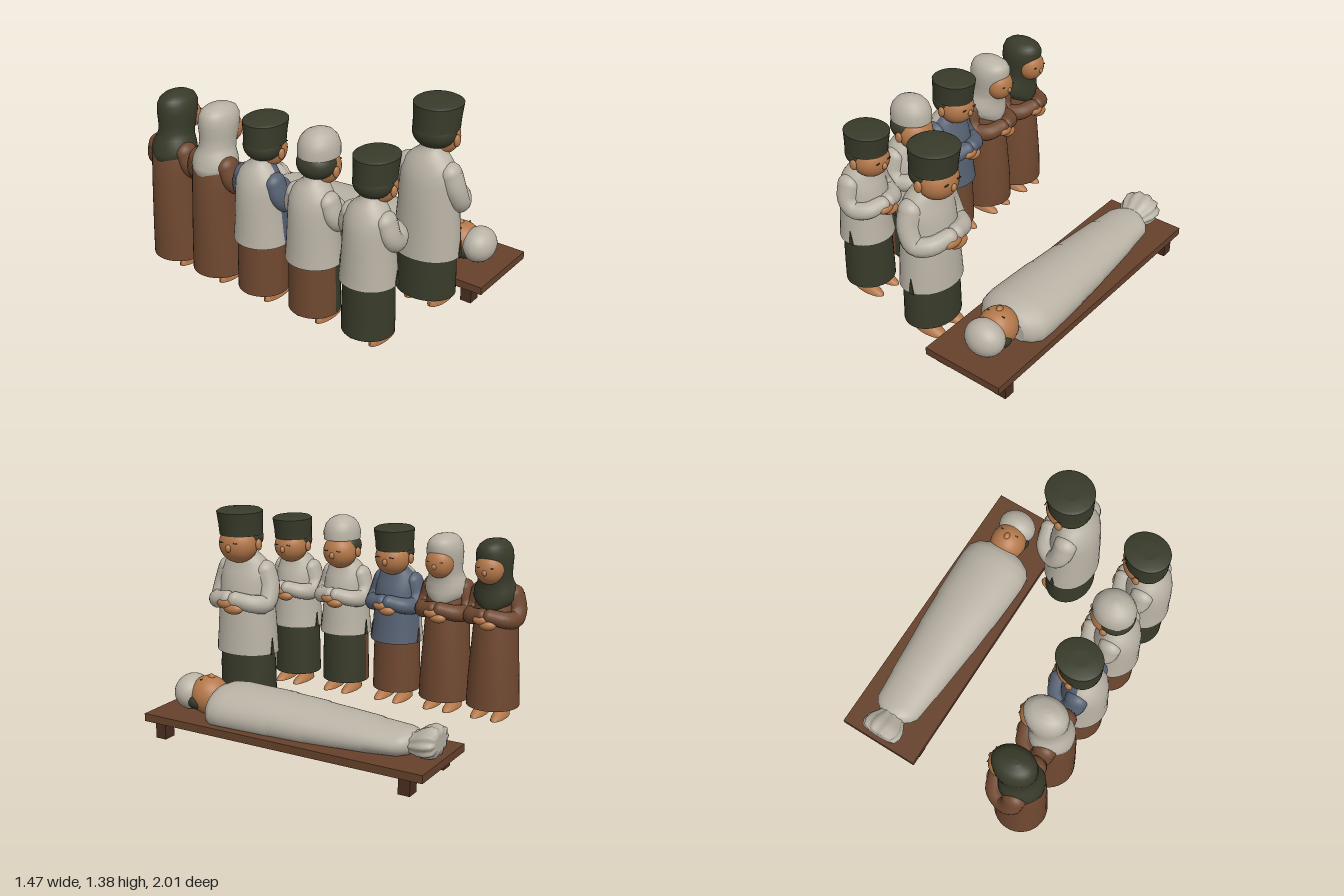
import * as THREE from 'three';

const flat = (name, color) => Object.assign(new THREE.MeshStandardMaterial({ color }), { name });
const WHITE = flat('off white cloth', 0xb9b2a5);
const GREEN = flat('dark green cloth', 0x383b2a);
const BROWN = flat('brown cloth', 0x6f4830);
const BLUE = flat('slate blue cloth', 0x566172);
const SKIN = flat('skin', 0xb4784a);
const WOOD = flat('table wood', 0x65412b);
const DARKWOOD = flat('table leg wood', 0x4a2e20);

function add(parent, name, geometry, material, x = 0, y = 0, z = 0) {
  const mesh = new THREE.Mesh(geometry, material);
  mesh.name = name;
  mesh.position.set(x, y, z);
  parent.add(mesh);
  return mesh;
}

function ball(parent, name, material, [x, y, z], [rx, ry, rz]) {
  return add(parent, name, new THREE.SphereGeometry(1, 28, 20).scale(rx, ry, rz), material, x, y, z);
}

// Closed body through elliptical rings [y, centreX, radiusX, radiusZ, centreZ, ripple].
// Group 0 is the half facing +x, group 1 the half facing -x.
function loft(rings, n = 40) {
  const pos = [], front = [], back = [];
  const ring = ([y, cx, rx, rz, cz = 0, ripple = 0]) => {
    for (let j = 0; j < n; j++) {
      const a = (j / n) * Math.PI * 2, k = 1 + ripple * Math.cos(a * 10);
      pos.push(cx + rx * k * Math.cos(a), y, cz + rz * k * Math.sin(a));
    }
  };
  rings.forEach(ring);
  const half = (j) => (Math.cos(((j + 0.5) / n) * Math.PI * 2) > 0 ? front : back);
  for (let i = 0; i < rings.length - 1; i++) {
    for (let j = 0; j < n; j++) {
      const a = i * n + j, c = i * n + ((j + 1) % n);
      half(j).push(a, a + n, c, a + n, c + n, c);
    }
  }
  for (const end of [0, 1]) {
    const r = end ? rings[rings.length - 1] : rings[0], base = pos.length / 3;
    ring(r);
    pos.push(r[1], r[0], r[4] || 0);
    for (let j = 0; j < n; j++) {
      const p = base + j, q = base + ((j + 1) % n);
      half(j).push(base + n, end ? q : p, end ? p : q);
    }
  }
  const g = new THREE.BufferGeometry();
  g.setAttribute('position', new THREE.Float32BufferAttribute(pos, 3));
  g.setIndex([...front, ...back]);
  g.addGroup(0, front.length, 0);
  g.addGroup(front.length, back.length, 1);
  g.computeVertexNormals();
  return g;
}

const both = (front, back = front) => [front, back];

// Keeps every vertex above a floor height
function restOn(geometry, floor) {
  const p = geometry.attributes.position;
  for (let i = 0; i < p.count; i++) p.setY(i, Math.max(p.getY(i), floor));
  geometry.computeVertexNormals();
  return geometry;
}

// Tapered tube along a smooth path
function limb(points, r0, r1) {
  const path = new THREE.CatmullRomCurve3(points.map((p) => new THREE.Vector3(...p)));
  const seg = 18, sides = 16, g = new THREE.TubeGeometry(path, seg, 1, sides);
  const p = g.attributes.position, v = new THREE.Vector3();
  for (let i = 0; i < p.count; i++) {
    const t = Math.floor(i / (sides + 1)) / seg, c = path.getPointAt(t);
    v.fromBufferAttribute(p, i).sub(c).multiplyScalar(r0 + (r1 - r0) * t).add(c);
    p.setXYZ(i, v.x, v.y, v.z);
  }
  g.computeVertexNormals();
  return g;
}

function addArms(body, sleeve, lift) {
  for (const s of [-1, 1]) {
    const arm = new THREE.Group();
    arm.name = s > 0 ? 'rightArm' : 'leftArm';
    body.add(arm);
    add(arm, 'sleeve', limb([[-0.02, 0.89, s * 0.14], [-0.01, 0.79, s * 0.175],
      [0.04, 0.695 + lift, s * 0.18], [0.12, 0.7 + lift, s * 0.14], [0.165, 0.725 + lift, s * 0.03]], 0.075, 0.052), sleeve);
    ball(arm, 'shoulder', sleeve, [-0.02, 0.89, s * 0.14], [0.075, 0.072, 0.07]);
    ball(arm, 'cuff', sleeve, [0.165, 0.725 + lift, s * 0.03], [0.053, 0.052, 0.05]);
    ball(arm, 'hand', SKIN, [0.185, 0.685 + lift + s * 0.015, s * 0.025], [0.042, 0.038, 0.07]);
  }
}

function addFeet(body) {
  for (const s of [-1, 1]) {
    const g = new THREE.SphereGeometry(1, 24, 16), p = g.attributes.position;
    for (let i = 0; i < p.count; i++) p.setY(i, Math.max(p.getY(i), 0) * (1 - 0.4 * p.getX(i)));
    g.scale(0.125, 0.065, 0.055);
    g.computeVertexNormals();
    add(body, 'foot', g, SKIN, 0.035, 0, s * 0.085);
    add(body, 'ankle', new THREE.CylinderGeometry(0.045, 0.045, 0.1, 16), SKIN, -0.03, 0.07, s * 0.085);
  }
}

function addFace(head, x, y, eyeZ) {
  for (const s of [-1, 1]) add(head, 'eye', new THREE.BoxGeometry(0.006, 0.006, 0.03), GREEN, x, y, s * eyeZ);
}

function man({ shirt, shirtBack, sarong, sarongBack, dome, leader }) {
  const figure = new THREE.Group(), body = new THREE.Group(), head = new THREE.Group();
  body.name = 'body';
  head.name = 'head';
  figure.add(body, head);
  const hem = leader ? 0.35 : 0.45;
  add(body, 'sarong', loft([[0.075, -0.01, 0.158, 0.195], [0.25, -0.01, 0.155, 0.193], [hem + 0.05, -0.01, 0.15, 0.185]]),
    both(sarong, sarongBack));
  add(body, 'shirt', loft([[hem, -0.01, 0.172, 0.215], [0.55, -0.012, 0.163, 0.203], [0.7, -0.014, 0.156, 0.19],
    [0.82, -0.016, 0.145, 0.185], [0.89, -0.02, 0.125, 0.18], [0.945, -0.018, 0.105, 0.155], [0.985, -0.008, 0.09, 0.115],
    [1.01, 0, 0.075, 0.08], [1.04, 0.005, 0.068, 0.07]]), both(shirt, shirtBack));
  // Side slits in the hem
  const slit = new THREE.Shape([new THREE.Vector2(-0.02, 0), new THREE.Vector2(0.02, 0), new THREE.Vector2(0, 0.11)]);
  for (const s of [-1, 1]) {
    add(body, 'hemSlit', new THREE.ExtrudeGeometry(slit, { depth: 0.006, bevelEnabled: false }), sarong, 0.02, hem, s * 0.213 - 0.003);
  }
  addArms(body, shirt, leader ? 0 : 0.04);
  addFeet(body);
  // Head with hair at the back and a cap
  add(head, 'neck', new THREE.CylinderGeometry(0.055, 0.06, 0.1, 20), SKIN, 0.02, 1.02, 0);
  ball(head, 'face', SKIN, [0.072, 1.075, 0], [0.118, 0.125, 0.13]);
  ball(head, 'hair', GREEN, [0.018, 1.115, 0], [0.118, 0.105, 0.136]);
  ball(head, 'nose', SKIN, [0.187, 1.06, 0], [0.02, 0.025, 0.02]);
  for (const s of [-1, 1]) ball(head, 'ear', SKIN, [0.045, 1.075, s * 0.138], [0.026, 0.038, 0.018]);
  addFace(head, 0.184, 1.095, 0.052);
  if (dome) {
    add(head, 'domeCap', loft([[1.17, 0.045, 0.142, 0.135], [1.23, 0.045, 0.142, 0.136], [1.28, 0.045, 0.125, 0.12],
      [1.315, 0.045, 0.095, 0.09], [1.335, 0.045, 0.055, 0.052], [1.343, 0.045, 0.01, 0.01]]), both(WHITE));
  } else {
    add(head, 'cap', loft([[1.135, 0.04, 0.142, 0.138], [1.2, 0.045, 0.146, 0.14], [1.285, 0.053, 0.154, 0.147]]), both(GREEN));
    add(head, 'capTop', loft([[1.285, 0.053, 0.154, 0.147], [1.297, 0.05, 0.135, 0.13], [1.303, 0.045, 0.06, 0.06]]), both(GREEN));
  }
  if (!leader) {
    body.scale.set(0.97, 0.9, 0.82);
    head.scale.set(0.95, 0.9, 0.88);
  }
  return figure;
}

function woman({ scarf }) {
  const figure = new THREE.Group(), body = new THREE.Group();
  body.name = 'limbs';
  figure.add(body);
  add(figure, 'dress', loft([[0.07, 0, 0.172, 0.172], [0.25, 0, 0.168, 0.165], [0.45, -0.005, 0.158, 0.152],
    [0.63, -0.01, 0.145, 0.142], [0.76, -0.015, 0.125, 0.14], [0.83, -0.015, 0.1, 0.115], [0.88, 0, 0.06, 0.06]]), both(BROWN));
  addArms(body, BROWN, 0.04);
  addFeet(body);
  body.scale.set(0.97, 0.9, 0.82);
  // Headscarf draped over the shoulders, with the face showing
  add(figure, 'headscarf', loft([[0.72, 0.01, 0.12, 0.085], [0.75, 0, 0.142, 0.125], [0.79, 0, 0.14, 0.145], [0.84, 0.005, 0.13, 0.14],
    [0.88, 0.015, 0.122, 0.115], [0.92, 0.03, 0.12, 0.105], [0.98, 0.04, 0.128, 0.11], [1.04, 0.045, 0.138, 0.115],
    [1.09, 0.05, 0.14, 0.11], [1.125, 0.05, 0.125, 0.092], [1.148, 0.045, 0.09, 0.065], [1.16, 0.04, 0.02, 0.015]]), both(scarf));
  ball(figure, 'face', SKIN, [0.125, 0.985, 0], [0.085, 0.1, 0.092]);
  ball(figure, 'nose', SKIN, [0.207, 0.97, 0], [0.014, 0.018, 0.016]);
  addFace(figure, 0.199, 1.0, 0.038);
  return figure;
}

function table() {
  const g = new THREE.Group();
  add(g, 'tableTop', new THREE.BoxGeometry(0.55, 0.05, 1.95), WOOD, 0.455, 0.125, 0.025);
  for (const x of [0.24, 0.675]) for (const z of [0.885, -0.83]) {
    add(g, 'tableLeg', new THREE.BoxGeometry(0.085, 0.1, 0.075), DARKWOOD, x, 0.05, z);
  }
  return g;
}

function shroudedFigure() {
  const g = new THREE.Group(), cx = 0.46;
  // Rings run along z: [z, halfWidth, centreHeight, halfHeight, ripple]
  const alongZ = (rings) => restOn(loft(rings.map(([z, rx, h, ry, ripple]) => [z, cx, rx, ry, -h, ripple]), 60)
    .rotateX(Math.PI / 2), 0.151);
  add(g, 'shroud', alongZ([[-0.77, 0.09, 0.22, 0.065], [-0.74, 0.13, 0.22, 0.075], [-0.7, 0.155, 0.215, 0.085],
    [-0.52, 0.172, 0.21, 0.1], [-0.5, 0.177, 0.21, 0.107], [-0.3, 0.193, 0.205, 0.125], [-0.14, 0.207, 0.205, 0.132],
    [-0.12, 0.211, 0.205, 0.139], [0.1, 0.224, 0.205, 0.147], [0.12, 0.229, 0.205, 0.152], [0.3, 0.238, 0.205, 0.153],
    [0.45, 0.243, 0.205, 0.156], [0.53, 0.235, 0.2, 0.155], [0.58, 0.2, 0.2, 0.135], [0.61, 0.15, 0.2, 0.1]]), both(WHITE));
  add(g, 'tiedEnd', alongZ([[-0.93, 0.08, 0.25, 0.05, 0.1], [-0.92, 0.115, 0.25, 0.085, 0.08], [-0.88, 0.132, 0.245, 0.098, 0.06],
    [-0.83, 0.125, 0.235, 0.088, 0.05], [-0.78, 0.095, 0.22, 0.068, 0.05], [-0.76, 0.09, 0.22, 0.065, 0.03]]), both(WHITE));
  // Head lying face up, crown towards +z
  ball(g, 'lyingFace', SKIN, [0.47, 0.255, 0.68], [0.12, 0.125, 0.13]);
  ball(g, 'lyingNose', SKIN, [0.47, 0.375, 0.665], [0.02, 0.02, 0.025]);
  ball(g, 'lyingHair', GREEN, [0.47, 0.225, 0.73], [0.125, 0.073, 0.09]);
  add(g, 'lyingCap', restOn(new THREE.SphereGeometry(1, 28, 20).scale(0.13, 0.115, 0.108), -0.109), WHITE, 0.475, 0.26, 0.808);
  for (const s of [-1, 1]) {
    add(g, 'closedEye', new THREE.BoxGeometry(0.03, 0.006, 0.006), GREEN, 0.47 + s * 0.05, 0.366, 0.7);
  }
  return g;
}

export function createModel() {
  const model = new THREE.Group();
  const place = (name, part, x = 0, y = 0, z = 0) => {
    part.name = name;
    part.position.set(x, y, z);
    model.add(part);
  };
  const ROW = -0.56, FLOOR = 0.08;
  place('table', table());
  place('shroudedFigure', shroudedFigure());
  place('leader', man({ shirt: WHITE, sarong: GREEN, leader: true }), 0, FLOOR, 0.715);
  place('firstMan', man({ shirt: WHITE, sarong: GREEN }), ROW, FLOOR, 0.68);
  place('secondMan', man({ shirt: WHITE, sarong: GREEN, sarongBack: BROWN, dome: true }), ROW, FLOOR, 0.29);
  place('thirdMan', man({ shirt: BLUE, shirtBack: WHITE, sarong: BROWN }), ROW, FLOOR, -0.105);
  place('firstWoman', woman({ scarf: WHITE }), ROW, FLOOR, -0.47);
  place('secondWoman', woman({ scarf: GREEN }), ROW, FLOOR, -0.81);
  return model;
}
